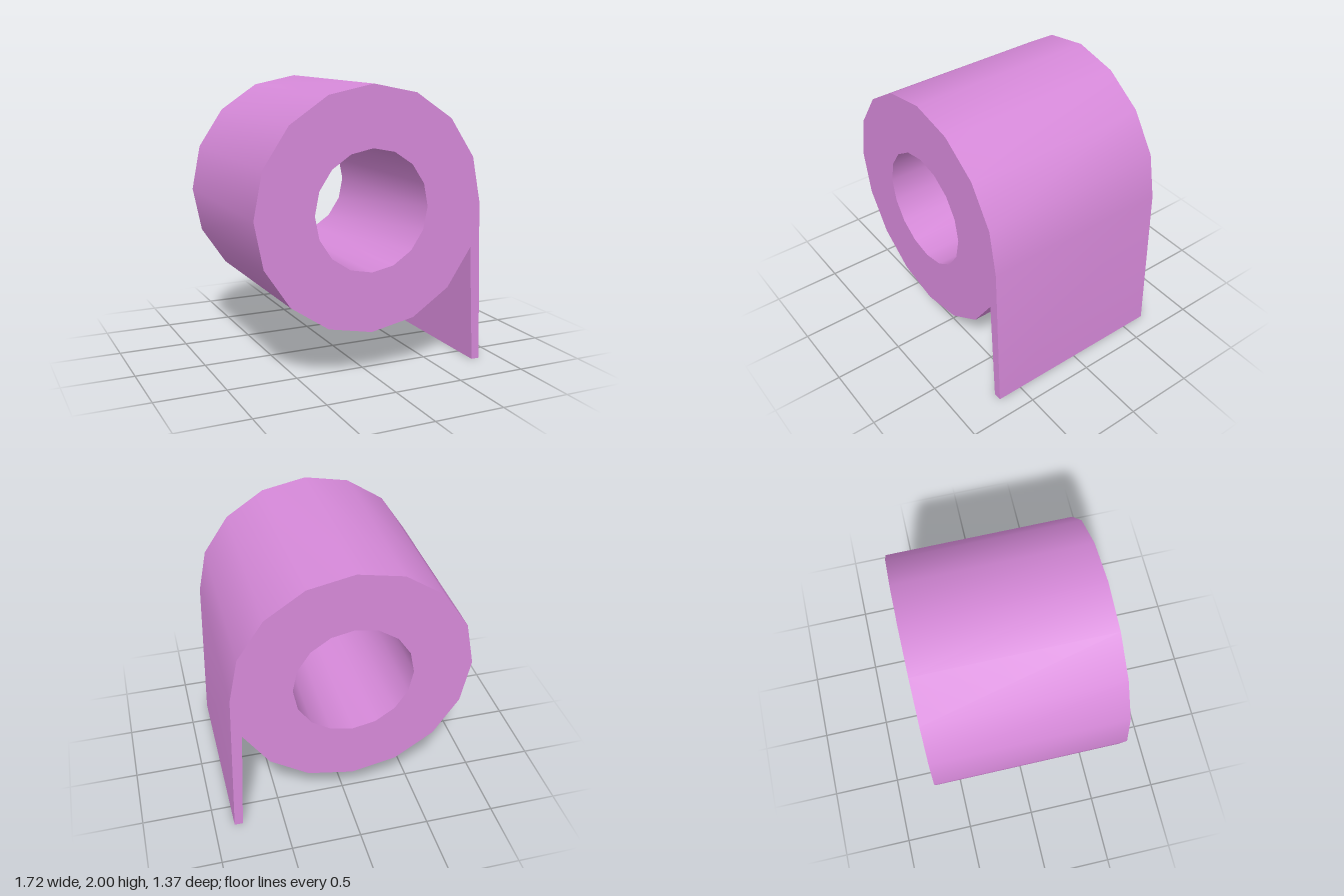
import * as THREE from 'three';
import { toCreasedNormals } from 'three/addons/utils/BufferGeometryUtils.js';

const SIDES = 16;
const CENTER = { x: -0.02, y: 1.16 };
const OUTER = 0.84, INNER = 0.42, WIDTH = 1.365;

// Points of the regular polygon around the roll's axis
function ring(radius) {
  return Array.from({ length: SIDES }, (_, i) => {
    const a = (i / SIDES) * Math.PI * 2;
    return new THREE.Vector2(CENTER.x + radius * Math.cos(a), CENTER.y + radius * Math.sin(a));
  });
}

export function createModel() {
  const group = new THREE.Group();
  group.name = 'paperRoll';

  const paper = new THREE.MeshStandardMaterial({ color: 0xd689d9 });
  paper.name = 'orchid';

  // Roll outline, whose last side opens into the hanging sheet
  const outline = new THREE.Shape([
    ...ring(OUTER),
    new THREE.Vector2(0.797, 0),
    new THREE.Vector2(0.857, 0),
  ]);
  // Core hole
  outline.holes.push(new THREE.Path(ring(INNER).reverse()));

  const extruded = new THREE.ExtrudeGeometry(outline, { depth: WIDTH, bevelEnabled: false, steps: 1 });
  extruded.translate(0, 0, -WIDTH / 2);

  const roll = new THREE.Mesh(toCreasedNormals(extruded, 0.6), paper);
  roll.name = 'rollWithHangingSheet';
  group.add(roll);
  return group;
}
